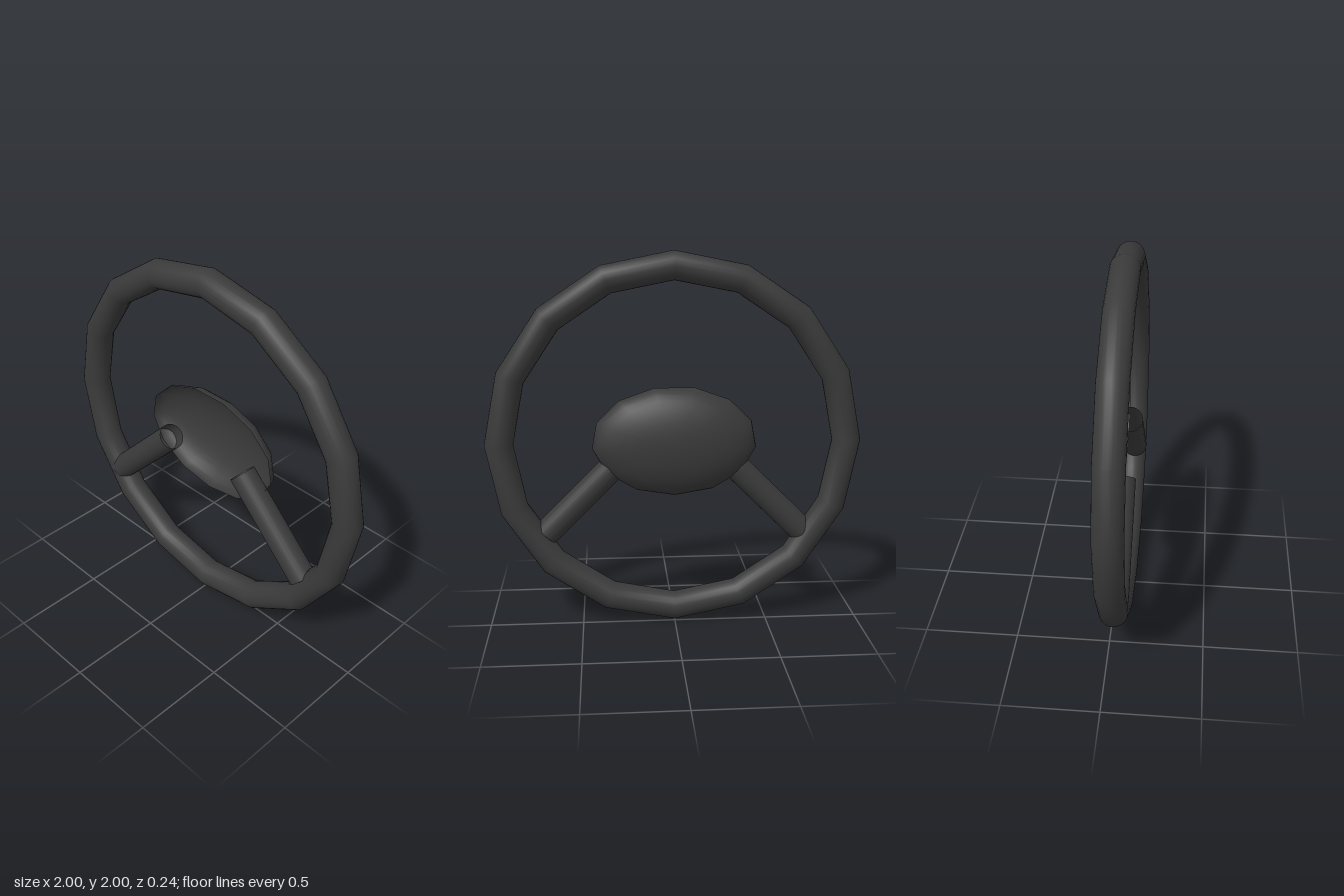
import * as THREE from 'three';

export function createModel() {
  const group = new THREE.Group();
  const darkGrey = new THREE.MeshStandardMaterial({ color: 0x3a3a3a, side: THREE.DoubleSide });
  darkGrey.name = 'darkGrey';

  const add = (name, geometry, x, y, z) => {
    const mesh = new THREE.Mesh(geometry, darkGrey);
    mesh.name = name;
    mesh.position.set(x, y, z);
    group.add(mesh);
    return mesh;
  };

  // Sixteen-sided rim with a smooth round section
  add('rim', new THREE.TorusGeometry(0.924, 0.076, 24, 16), 0, 1, 0.035);

  // Hub: thirteen-sided oval bowl, open to the front
  const bowl = new THREE.SphereGeometry(1, 13, 10, -Math.PI / 2, Math.PI * 2, 0, Math.PI / 2);
  bowl.rotateX(-Math.PI / 2);
  bowl.scale(0.44, 0.295, 0.155);
  add('hub', bowl, 0, 1.005, 0.035);

  // Two open tubular spokes, the right one set slightly lower and further out
  const spoke = new THREE.CylinderGeometry(0.071, 0.071, 0.62, 24, 1, true);
  add('leftSpoke', spoke, 0.47, 0.725, 0.046).rotation.z = Math.PI / 4;
  add('rightSpoke', spoke, -0.5, 0.69, 0.046).rotation.z = -Math.PI / 4;

  return group;
}
